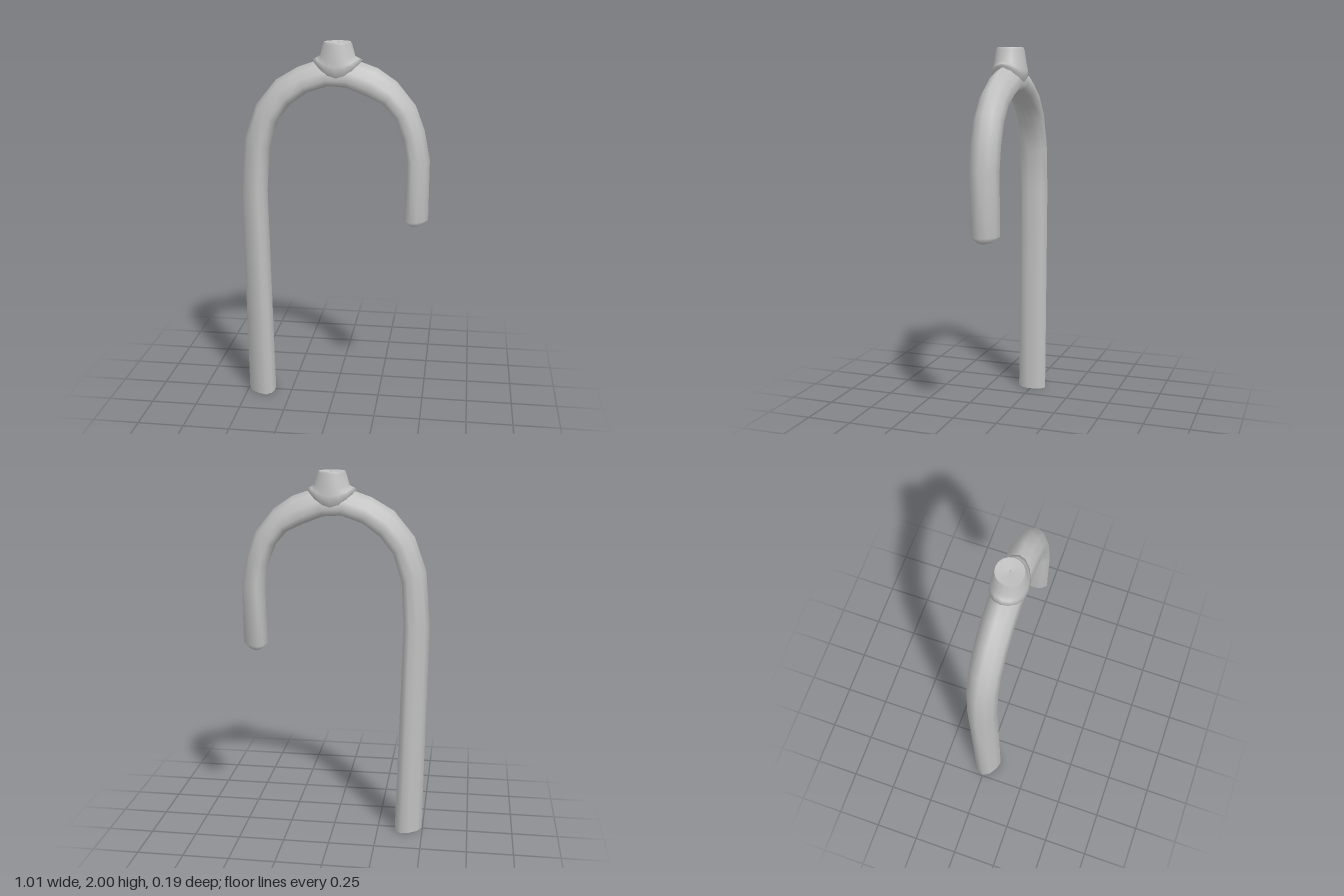
import * as THREE from 'three';

// Joins closed rings of points into a smooth skin
function loft(rings) {
  const n = rings[0].length, pos = rings.flat(2), idx = [];
  for (let i = 0; i < rings.length - 1; i++) {
    for (let k = 0; k < n; k++) {
      const a = i * n + k, b = i * n + (k + 1) % n;
      idx.push(a, b, a + n, b, b + n, a + n);
    }
  }
  const g = new THREE.BufferGeometry();
  g.setAttribute('position', new THREE.Float32BufferAttribute(pos, 3));
  g.setIndex(idx);
  g.computeVertexNormals();
  return g;
}

// Half cross-section: u runs from the outer side (-1) to the inner side (1), v is depth
const half = [[-1, 0], [-0.68, 0.5], [-0.1, 0.85], [0.5, 1], [0.88, 0.68], [1, 0.25]];
const section = [...half, ...half.slice(1).reverse().map(([u, v]) => [u, -v])];

// One ring between an outer and an inner point
function tubeRing([ox, oy, ix, iy, depth = 0.081]) {
  return section.map(([u, v]) => {
    const t = (u + 1) / 2;
    return [ox + (ix - ox) * t, oy + (iy - oy) * t, v * depth];
  });
}

// Oval ring of the cap, drooping by `drop` at front and back
function capRing(rx, rz, y, drop = 0, n = 16) {
  return Array.from({ length: n }, (_, k) => {
    const a = (k / n) * Math.PI * 2;
    return [0.015 + rx * Math.cos(a), y - drop * Math.sin(a) ** 2, -rz * Math.sin(a)];
  });
}

export function createModel() {
  const group = new THREE.Group();
  const grey = new THREE.MeshStandardMaterial({ color: 0xc0c0c0 });
  grey.name = 'grey';
  const add = (name, geometry) => {
    const m = new THREE.Mesh(geometry, grey);
    m.name = name;
    group.add(m);
  };

  // Long leg, arch and short arm, as outer/inner edge points
  const stations = [
    [-0.495, 0, -0.346, 0],
    [-0.51, 1.18, -0.372, 1.18],
    [-0.484, 1.477, -0.357, 1.42],
    [-0.42, 1.657, -0.31, 1.567],
    [-0.31, 1.79, -0.24, 1.657],
    [-0.193, 1.858, -0.145, 1.726],
    [-0.07, 1.9, -0.034, 1.763],
    [0.09, 1.905, 0.06, 1.757],
    [0.225, 1.858, 0.167, 1.715],
    [0.325, 1.79, 0.256, 1.673],
    [0.425, 1.668, 0.32, 1.6],
    [0.473, 1.54, 0.362, 1.493],
    [0.505, 1.382, 0.383, 1.377],
    [0.505, 1.054, 0.375, 1.054],
    [0.467, 1.023, 0.408, 1.023, 0.04],
    [0.438, 1.013, 0.436, 1.013, 0.002],
  ];
  add('hookedTube', loft(stations.map(tubeRing)));

  // Flat foot of the long leg
  add('legEnd', loft([tubeRing([-0.42, 0, -0.42, 0, 0]), tubeRing(stations[0])]));

  // Saddle collar and neck on top of the arch
  add('collar', loft([
    capRing(0.1, 0.07, 1.86, 0.06),
    capRing(0.132, 0.093, 1.9, 0.065),
    capRing(0.112, 0.09, 1.908, 0.04),
    capRing(0.092, 0.085, 1.92, 0.012),
    capRing(0.076, 0.075, 1.978),
    capRing(0.07, 0.07, 1.99),
  ]));

  // Slightly dished top with a tiny centre point
  add('capTop', loft([
    capRing(0.07, 0.07, 1.99),
    capRing(0.03, 0.03, 1.985),
    capRing(0.001, 0.001, 1.98),
  ]));
  const pin = new THREE.ConeGeometry(0.004, 0.022, 6);
  pin.translate(0.02, 1.989, 0);
  add('centrePin', pin);

  return group;
}
